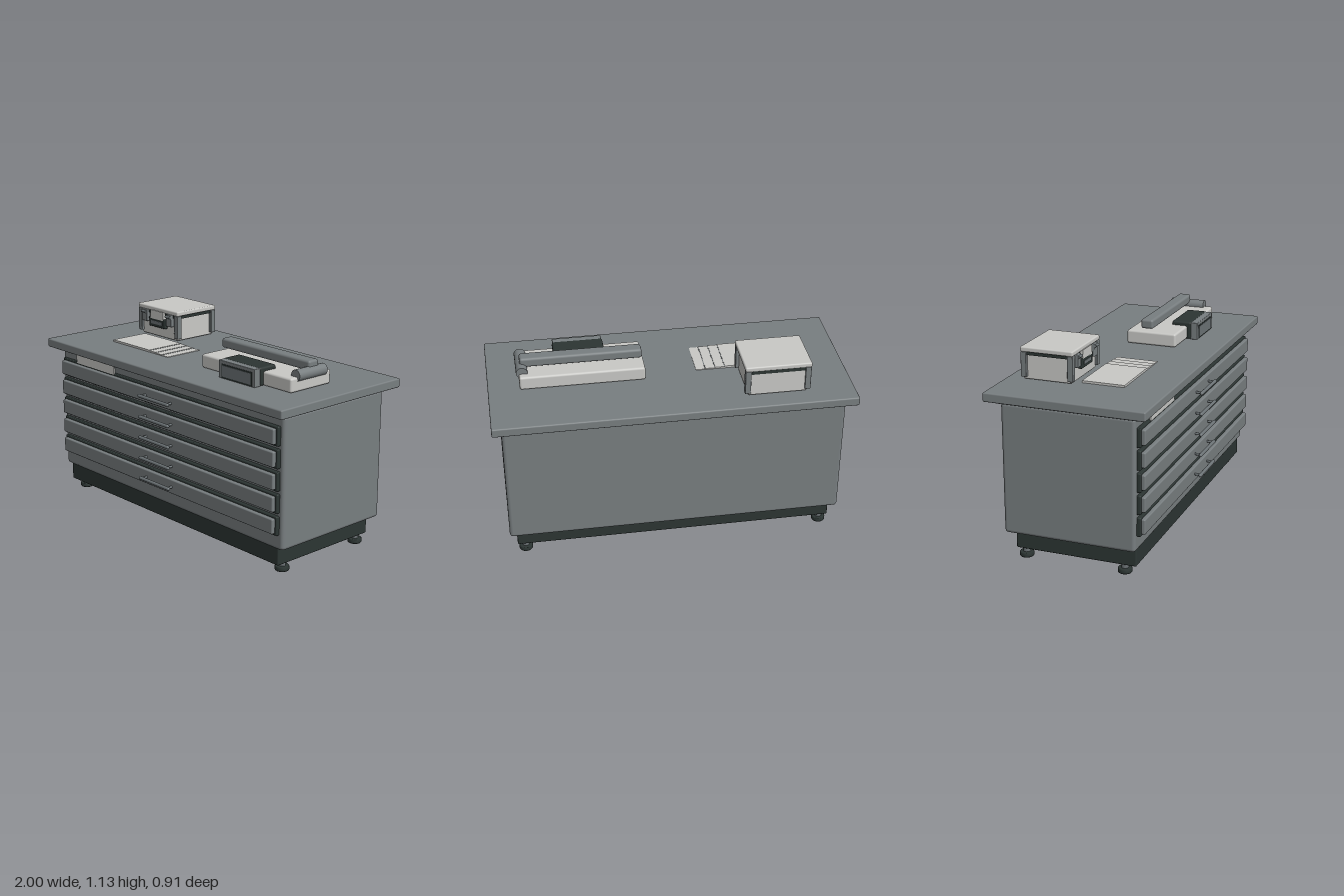
import * as THREE from 'three';
import { RoundedBoxGeometry } from 'three/addons/geometries/RoundedBoxGeometry.js';

const mat = (name, color) => {
  const m = new THREE.MeshStandardMaterial({ color });
  m.name = name;
  return m;
};

export function createModel() {
  const grey = mat('steel grey', 0x787e80);
  const metal = mat('handle metal', 0x6c7376);
  const dark = mat('dark trim', 0x2c3533);
  const white = mat('off white', 0xc9c9c6);
  const root = new THREE.Group();
  root.name = 'drawerCabinet';

  // Box given by its extents on each axis; r rounds the edges
  const box = (parent, name, m, [x0, x1], [y0, y1], [z0, z1], r = 0) => {
    const s = [x1 - x0, y1 - y0, z1 - z0];
    const g = r ? new RoundedBoxGeometry(...s, 2, r) : new THREE.BoxGeometry(...s);
    const mesh = new THREE.Mesh(g, m);
    mesh.position.set((x0 + x1) / 2, (y0 + y1) / 2, (z0 + z1) / 2);
    mesh.name = name;
    parent.add(mesh);
    return mesh;
  };
  const cyl = (parent, name, m, r, len, x, y, z, axis = 'y') => {
    const mesh = new THREE.Mesh(new THREE.CylinderGeometry(r, r, len, 20), m);
    if (axis === 'x') mesh.rotation.z = Math.PI / 2;
    if (axis === 'z') mesh.rotation.x = Math.PI / 2;
    mesh.position.set(x, y, z);
    mesh.name = name;
    parent.add(mesh);
    return mesh;
  };
  const group = (name) => {
    const g = new THREE.Group();
    g.name = name;
    root.add(g);
    return g;
  };

  // Carcass
  box(root, 'worktop', grey, [-1, 1], [0.895, 0.946], [-0.455, 0.442], 0.008);
  box(root, 'worktopTrim', grey, [-0.955, 0.955], [0.878, 0.9], [-0.398, 0.384], 0.006);
  box(root, 'body', grey, [-0.948, 0.948], [0.152, 0.886], [-0.381, 0.367], 0.02);
  box(root, 'plinth', dark, [-0.907, 0.907], [0.057, 0.165], [-0.33, 0.358], 0.006);

  // Levelling feet
  for (const x of [-0.865, 0.86]) {
    for (const z of [-0.29, 0.28]) {
      const foot = group('foot');
      cyl(foot, 'footStem', metal, 0.02, 0.04, x, 0.045, z);
      const pts = [[0, 0], [0.036, 0], [0.039, 0.004], [0.039, 0.022], [0.035, 0.027], [0, 0.027]];
      const pad = new THREE.Mesh(
        new THREE.LatheGeometry(pts.map((p) => new THREE.Vector2(...p)), 24), dark);
      pad.position.set(x, 0, z);
      pad.name = 'footPad';
      foot.add(pad);
    }
  }

  // Five shallow drawers with bar handles
  for (let i = 0; i < 5; i++) {
    const y = 0.29 + i * 0.122;
    const d = group('drawer');
    box(d, 'drawerFrame', dark, [-0.922, 0.922], [y - 0.053, y + 0.053], [0.36, 0.388], 0.006);
    box(d, 'drawerFront', grey, [-0.91, 0.91], [y - 0.042, y + 0.042], [0.38, 0.409], 0.007);
    const bar = new THREE.Mesh(new THREE.CapsuleGeometry(0.01, 0.245, 4, 12), metal);
    bar.rotation.z = Math.PI / 2;
    bar.position.set(0, y, 0.445);
    bar.name = 'handleBar';
    d.add(bar);
    for (const x of [-0.11, 0.11]) cyl(d, 'handlePost', metal, 0.007, 0.04, x, y, 0.426, 'z');
  }
  box(root, 'drawerLabel', white, [-0.782, -0.423], [0.826, 0.892], [0.382, 0.39]);

  // Storage case at the back
  const c = group('storageCase');
  box(c, 'caseBody', white, [-0.725, -0.398], [0.953, 1.107], [-0.348, -0.072], 0.008);
  box(c, 'caseLid', white, [-0.746, -0.378], [1.106, 1.134], [-0.358, -0.056], 0.008);
  box(c, 'caseSeal', dark, [-0.732, -0.391], [1.087, 1.107], [-0.353, -0.066]);
  for (const [x0, x1] of [[-0.744, -0.711], [-0.412, -0.379]]) {
    box(c, 'cornerPost', grey, [x0, x1], [0.968, 1.107], [-0.356, -0.324], 0.004);
    box(c, 'cornerPost', grey, [x0, x1], [0.968, 1.107], [-0.09, -0.057], 0.004);
  }
  for (const x of [-0.676, -0.452]) {
    box(c, 'latch', grey, [x - 0.023, x + 0.023], [1.035, 1.107], [-0.075, -0.046], 0.005);
    cyl(c, 'latchPin', metal, 0.008, 0.042, x, 1.094, -0.044, 'x');
  }
  box(c, 'gripPlate', white, [-0.623, -0.503], [1.06, 1.112], [-0.073, -0.05]);
  box(c, 'grip', dark, [-0.638, -0.488], [1.012, 1.07], [-0.073, -0.05], 0.006);
  box(c, 'gripInset', metal, [-0.612, -0.514], [1.03, 1.05], [-0.052, -0.047]);

  // Fanned paper sheets
  const sheets = group('paperSheets');
  [-0.165, -0.22, -0.275, -0.33].forEach((x1, i) =>
    box(sheets, 'sheet', white, [-0.665, x1], [0.947 + i * 0.003, 0.95 + i * 0.003], [-0.04, 0.2]));
  for (const x of [-0.22, -0.275, -0.33]) {
    const y = 0.947 + (-0.165 - x) / 0.055 * 0.003;
    box(sheets, 'sheetEdge', metal, [x, x + 0.004], [y, y + 0.001], [-0.04, 0.2]);
  }

  // Benchtop trimmer with pivoting arm
  const t = group('trimmer');
  box(t, 'trimmerBase', white, [0.128, 0.824], [0.948, 1.026], [-0.096, 0.2], 0.012);
  box(t, 'trimmerArm', grey, [0.137, 0.815], [1.04, 1.095], [-0.014, 0.06], 0.014);
  cyl(t, 'armHinge', grey, 0.032, 0.208, 0.807, 1.032, 0.048, 'z');

  // Control display
  const s = group('controlDisplay');
  box(s, 'displayHousing', dark, [0.333, 0.62], [0.947, 1.049], [0.107, 0.226], 0.012);
  box(s, 'displayFace', grey, [0.338, 0.616], [0.946, 1.046], [0.215, 0.262], 0.004);
  box(s, 'screenBezel', dark, [0.36, 0.597], [0.95, 1.028], [0.258, 0.264]);
  box(s, 'screen', metal, [0.368, 0.589], [0.958, 1.02], [0.26, 0.266]);

  return root;
}
